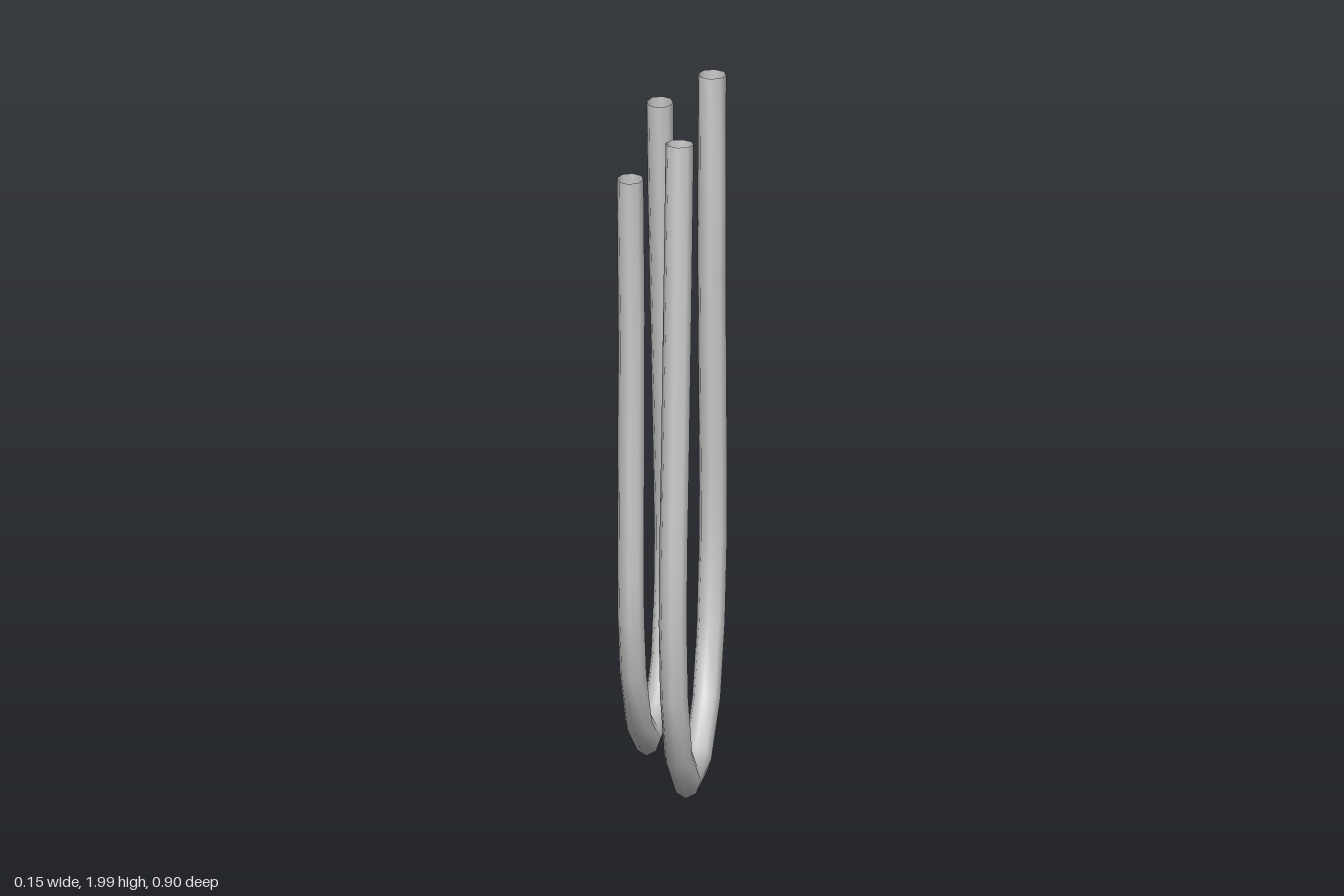
import * as THREE from 'three';

const SIDES = 8;

// Open tube swept along a path in the z-y plane; each point is [z, y, in-plane radius].
function bentTube(name, x, radius, path) {
  const pts = path.map(([z, y]) => new THREE.Vector2(z, y));
  const position = [], index = [];
  pts.forEach((p, i) => {
    // ring lies on the bisector of the two neighbouring segments
    const a = p.clone().sub(pts[Math.max(i - 1, 0)]).normalize();
    const b = pts[Math.min(i + 1, pts.length - 1)].clone().sub(p).normalize();
    const t = a.add(b).normalize();
    const r = path[i][2] ?? radius;
    for (let s = 0; s < SIDES; s++) {
      const angle = (s / SIDES) * Math.PI * 2;
      const u = Math.cos(angle) * radius, v = Math.sin(angle) * r;
      position.push(x + u, p.y + t.x * v, p.x - t.y * v);
      if (i === 0) continue;
      const n = (s + 1) % SIDES, lo = (i - 1) * SIDES, hi = i * SIDES;
      index.push(lo + s, lo + n, hi + s, lo + n, hi + n, hi + s);
    }
  });
  const geometry = new THREE.BufferGeometry();
  geometry.setAttribute('position', new THREE.Float32BufferAttribute(position, 3));
  geometry.setIndex(index);
  geometry.computeVertexNormals();
  const material = new THREE.MeshStandardMaterial({ color: 0xcccccc, side: THREE.DoubleSide });
  const mesh = new THREE.Mesh(geometry, material);
  mesh.name = name;
  return mesh;
}

export function createModel() {
  const group = new THREE.Group();
  group.name = 'interlacedTubes';

  // Lower loop, on the model's left
  group.add(bentTube('lowerLoop', 0.0375, 0.0385, [
    [-0.40, 1.945], [-0.392, 1.58], [-0.393, 1.37], [-0.405, 1.0], [-0.412, 0.79],
    [-0.41, 0.60], [-0.38, 0.375, 0.04], [-0.31, 0.18, 0.044], [-0.172, 0.056, 0.05],
    [-0.012, 0.056, 0.05], [0.12, 0.18, 0.046], [0.182, 0.37, 0.041], [0.202, 0.585],
    [0.193, 0.79], [0.168, 1.05], [0.13, 1.5], [0.097, 1.935],
  ]));

  // Upper loop, on the model's right
  group.add(bentTube('upperLoop', -0.041, 0.0365, [
    [0.413, 1.95], [0.395, 1.55], [0.402, 1.13], [0.407, 0.81], [0.402, 0.68],
    [0.37, 0.505, 0.04], [0.286, 0.335, 0.044], [0.155, 0.236, 0.048],
    [0.006, 0.25, 0.045], [-0.107, 0.375, 0.041], [-0.15, 0.57], [-0.153, 0.75],
    [-0.138, 0.945], [-0.092, 1.4], [-0.06, 1.69], [-0.04, 1.998],
  ]));

  return group;
}
